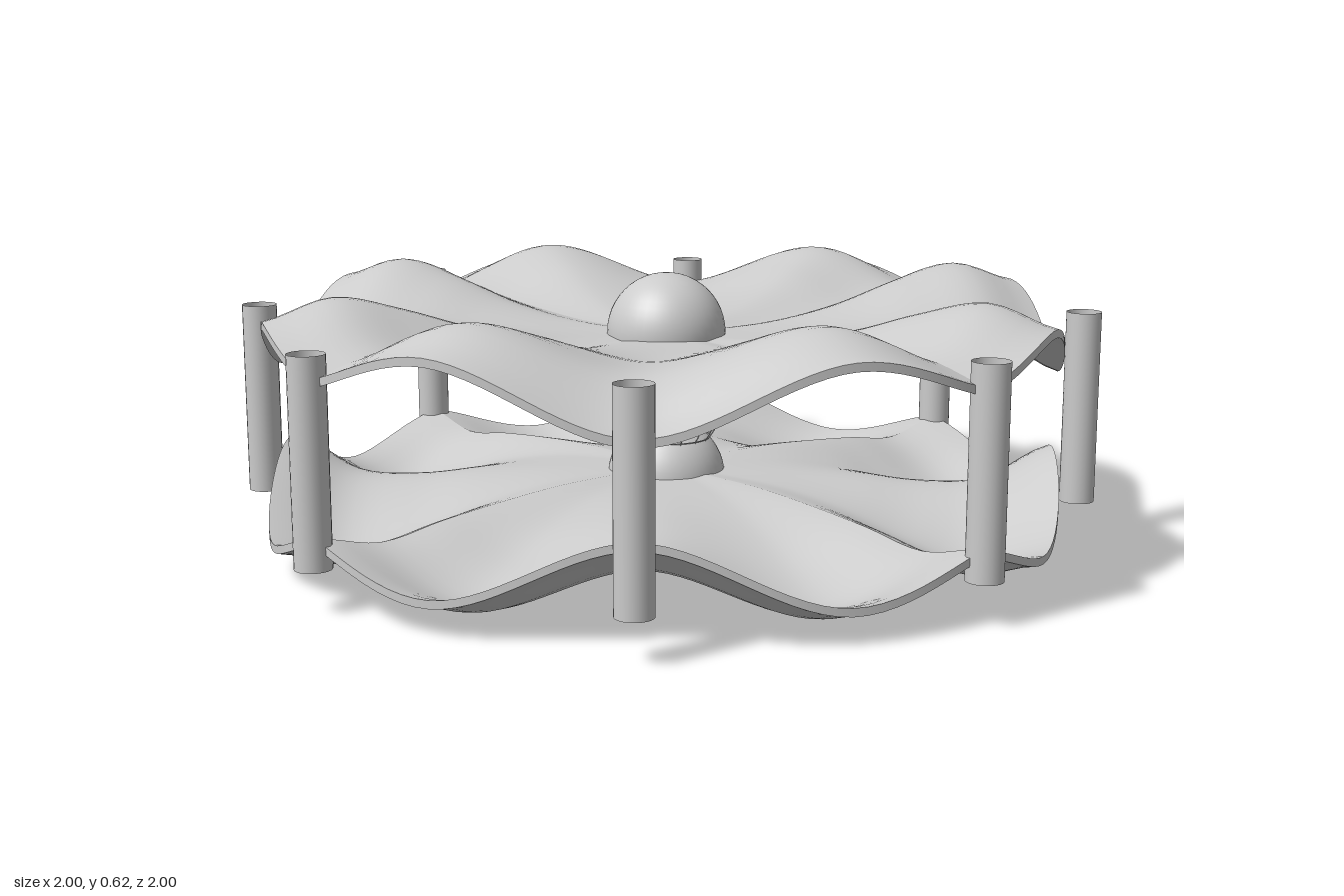
import * as THREE from 'three';

const MID = 0.31; // height of the mirror plane between the two shells
const grey = new THREE.MeshStandardMaterial({ color: 0xcccccc });
const greyOpen = new THREE.MeshStandardMaterial({ color: 0xcccccc, side: THREE.DoubleSide });

// Height profiles from hub to rim, evenly spaced: panel middle, lobe crest, seam
const profile = (heights) => {
  const n = heights.length - 1;
  const curve = new THREE.SplineCurve(heights.map((h, i) => new THREE.Vector2(i / n, h)));
  return (s) => curve.getPoint(s).y;
};
const middle = profile([0.47, 0.47, 0.475, 0.485, 0.50, 0.49, 0.41]);
const crest = profile([0.47, 0.47, 0.48, 0.51, 0.56, 0.595, 0.55]);
const seam = profile([0.47, 0.465, 0.465, 0.475, 0.49, 0.51, 0.475]);

// Rounded-square outline
const outline = (a) =>
  0.9 / Math.pow(Math.abs(Math.cos(a)) ** 2.41 + Math.abs(Math.sin(a)) ** 2.41, 1 / 2.41);

// Wavy height: middle valley, rise to the crest, fall to the creased seam
function waveHeight(s, a) {
  const p = Math.abs(a) / (Math.PI / 4);
  const split = 0.6;
  if (p < split) return THREE.MathUtils.lerp(middle(s), crest(s), THREE.MathUtils.smoothstep(p, 0, split));
  const q = (p - split) / (1 - split);
  const w = 0.5 * THREE.MathUtils.smoothstep(q, 0, 1) + 0.5 * (1 - Math.cos(q * Math.PI / 2));
  return THREE.MathUtils.lerp(crest(s), seam(s), w);
}

// One quarter panel: upper skin, rim and lower skin, with doubled rim rows for sharp edges
function panelGeometry() {
  const rings = 30, cols = 48, half = 0.009;
  const rows = [];
  for (let i = 0; i <= rings; i++) rows.push([i / rings, half]);
  rows.push([1, half], [1, -half]);
  for (let i = rings; i >= 0; i--) rows.push([i / rings, -half]);

  const pos = [], index = [];
  rows.forEach(([s, off], i) => {
    for (let j = 0; j <= cols; j++) {
      const a = (j / cols - 0.5) * Math.PI / 2;
      const r = s * outline(a);
      pos.push(r * Math.sin(a), waveHeight(s, a) + off, r * Math.cos(a));
      const isDouble = i === rings || i === rings + 2;
      if (i < rows.length - 1 && j < cols && !isDouble) {
        const k = i * (cols + 1) + j, n = k + cols + 1;
        index.push(k, n, n + 1, k, n + 1, k + 1);
      }
    }
  });
  const g = new THREE.BufferGeometry();
  g.setAttribute('position', new THREE.Float32BufferAttribute(pos, 3));
  g.setIndex(index);
  g.computeVertexNormals();
  return g;
}

function makeShell(name, panelGeo, ballGeo) {
  const shell = new THREE.Group();
  shell.name = name;
  for (let i = 0; i < 4; i++) {
    const panel = new THREE.Mesh(panelGeo, grey);
    panel.name = 'wavyPanel';
    panel.rotation.y = i * Math.PI / 2;
    shell.add(panel);
  }
  const ball = new THREE.Mesh(ballGeo, grey);
  ball.name = 'hubBall';
  ball.position.y = 0.482;
  shell.add(ball);
  return shell;
}

export function createModel() {
  const model = new THREE.Group();
  model.name = 'wavyShellPair';

  // Upper shell and its upside-down twin
  const panelGeo = panelGeometry();
  const ballGeo = new THREE.SphereGeometry(0.138, 40, 24);
  const upper = makeShell('upperShell', panelGeo, ballGeo);
  const lower = makeShell('lowerShell', panelGeo, ballGeo);
  lower.rotation.x = Math.PI;
  lower.position.y = 2 * MID;
  model.add(upper, lower);

  // Eight open tubular posts around the rim
  const postGeo = new THREE.CylinderGeometry(0.04, 0.04, 0.445, 24, 1, true);
  for (let i = 0; i < 8; i++) {
    const a = i * Math.PI / 4;
    const post = new THREE.Mesh(postGeo, greyOpen);
    post.name = 'post';
    post.position.set(0.96 * Math.sin(a), MID + 0.005, 0.96 * Math.cos(a));
    model.add(post);
  }

  // Fine wire globe between the hub balls
  const cage = new THREE.Group();
  cage.name = 'wireGlobe';
  cage.position.y = MID;
  const R = 0.128, wire = 0.0015;
  const meridianGeo = new THREE.TorusGeometry(R, wire, 5, 48);
  for (let i = 0; i < 8; i++) {
    const ring = new THREE.Mesh(meridianGeo, grey);
    ring.name = 'meridianWire';
    ring.rotation.y = i * Math.PI / 8;
    cage.add(ring);
  }
  for (let i = -2; i <= 2; i++) {
    const lat = i * Math.PI / 10;
    const ring = new THREE.Mesh(new THREE.TorusGeometry(R * Math.cos(lat), wire, 5, 48), grey);
    ring.name = 'latitudeWire';
    ring.rotation.x = Math.PI / 2;
    ring.position.y = R * Math.sin(lat);
    cage.add(ring);
  }
  model.add(cage);
  return model;
}
